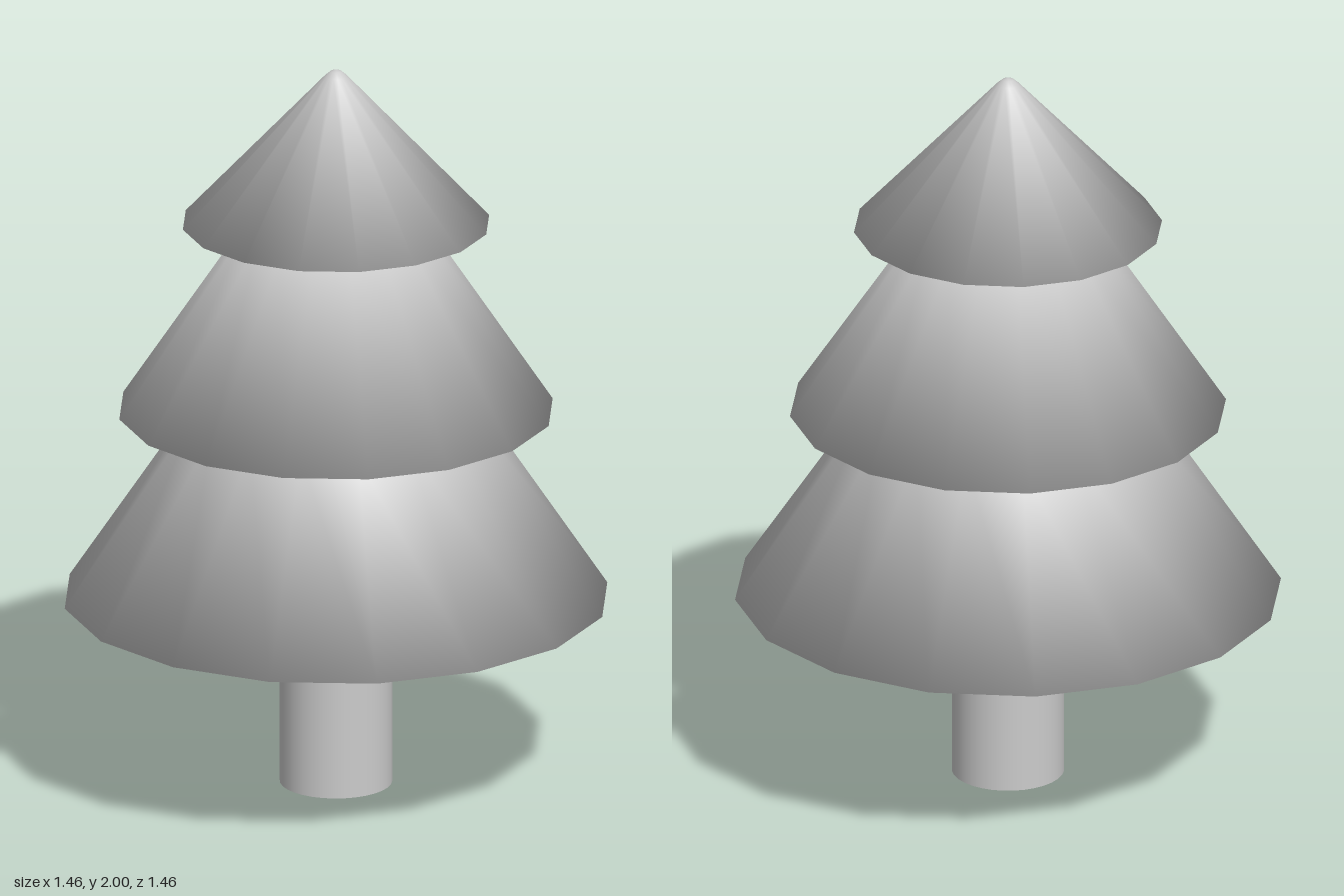
import * as THREE from 'three';

const SIDES = 16;
const material = new THREE.MeshStandardMaterial({ color: 0xcccccc, side: THREE.DoubleSide });

// Revolve a profile (bottom to top); normals are the even average of the
// two neighbouring slopes, so the shading rolls softly around the rims.
function softLathe(profile, sides) {
  const points = profile.map(([r, y]) => new THREE.Vector2(r, y));
  const geometry = new THREE.LatheGeometry(points, sides);
  const slopes = points.slice(1).map((p, j) => {
    const d = p.clone().sub(points[j]).normalize();
    return new THREE.Vector2(d.y, -d.x);
  });
  const rows = points.map((p, j) => {
    const n = new THREE.Vector2();
    if (j > 0) n.add(slopes[j - 1]);
    if (j < slopes.length) n.add(slopes[j]);
    if (p.x === 0) n.x = 0;
    return n.normalize();
  });
  const normal = geometry.attributes.normal;
  for (let i = 0; i <= sides; i++) {
    const phi = (i / sides) * Math.PI * 2;
    rows.forEach((n, j) => {
      normal.setXYZ(i * rows.length + j, n.x * Math.sin(phi), n.y, n.x * Math.cos(phi));
    });
  }
  return geometry;
}

export function createModel() {
  const tree = new THREE.Group();
  tree.name = 'tree';

  const add = (name, profile, sides = SIDES) => {
    const mesh = new THREE.Mesh(softLathe(profile, sides), material);
    mesh.name = name;
    tree.add(mesh);
  };

  // Open round trunk
  add('trunk', [[0.15, 0], [0.15, 0.52]], 32);

  // Three stacked foliage tiers with flat undersides
  add('lowerFoliage', [[0, 0.52], [0.73, 0.52], [0.385, 1.04]]);
  add('middleFoliage', [[0, 1.045], [0.583, 1.045], [0.245, 1.555], [0, 1.555]]);

  // Pointed top with a slightly blunted tip
  add('topFoliage', [[0, 1.57], [0.412, 1.57], [0.03, 1.982], [0.015, 1.995], [0, 2]]);

  return tree;
}
